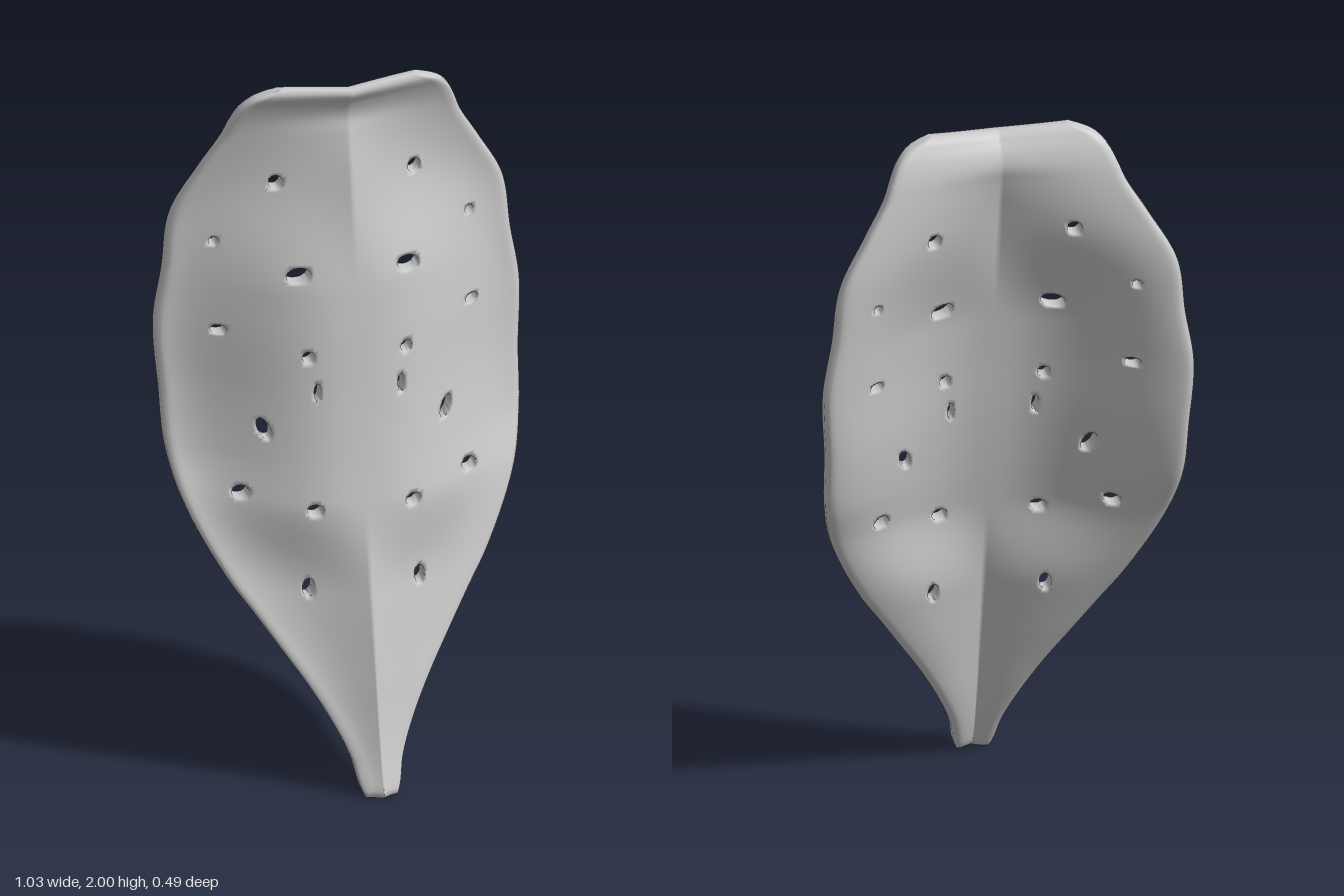
import * as THREE from 'three';

// Outline stations: height, half width, ridge z, edge z (middle of the shell)
const stations = [
  [0, .045, .224, .206], [.03, .056, .212, .194], [.1, .072, .19, .166], [.2, .116, .166, .126],
  [.3, .172, .146, .088], [.4, .237, .126, .048], [.5, .303, .106, .01], [.6, .37, .085, -.028],
  [.8, .467, .046, -.105], [.94, .499, .02, -.166], [1.1, .507, -.005, -.202], [1.3, .516, -.03, -.223],
  [1.45, .492, -.05, -.225], [1.62, .467, -.077, -.225], [1.75, .395, -.1, -.205], [1.85, .335, -.122, -.182],
  [1.9, .315, -.131, -.168], [1.95, .287, -.118, -.148], [1.98, .25, -.1, -.13], [2, .195, -.092, -.118],
];
// Perforations on one half: x, y, radius x, radius y, tilt
const holes = [
  [.196, 1.71, .02, .02, 0], [.362, 1.54, .013, .013, 0], [.155, 1.46, .034, .021, -.2],
  [.358, 1.29, .021, .014, 0], [.138, 1.23, .017, .017, 0], [.118, 1.13, .01, .026, 0],
  [.257, 1.02, .016, .032, -.4], [.323, .84, .024, .018, -.3], [.138, .8, .023, .017, 0],
  [.157, .57, .016, .026, .1],
];
const COLS = 110, ROWS = 200, HALF = .025;
const { lerp, smoothstep } = THREE.MathUtils;

const section = new THREE.CubicInterpolant(
  stations.map(s => s[0]), stations.flatMap(s => s.slice(1)), 3, new Float32Array(3));

// Distance from a hole centre, measured in hole radii
function holeDistance([hx, hy, rx, ry, tilt], x, y) {
  const dx = Math.abs(x) - hx, dy = y - hy, c = Math.cos(tilt), s = Math.sin(tilt);
  return Math.hypot((dx * c + dy * s) / rx, (dy * c - dx * s) / ry);
}

// Fall from ridge (0) to edge (1): keeled near both ends, a broad soft ridge in the belly
function foldProfile(t, y) {
  const belly = smoothstep(y, .55, .82) * (1 - smoothstep(y, 1.4, 1.8));
  const keel = lerp(Math.sin(t * Math.PI / 2), t, smoothstep(y, 1.4, 2) * .6);
  return lerp(keel, smoothstep(t ** 1.3, 0, 1), belly);
}

function shellGeometry() {
  const id = (i, j) => j * (COLS + 1) + i;
  const count = (COLS + 1) * (ROWS + 1);

  // Flat grid that fills the outline
  const flat = [];
  for (let j = 0; j <= ROWS; j++) {
    const y = 2 * j / ROWS, w = section.evaluate(y)[0];
    for (let i = 0; i <= COLS; i++) flat.push([(2 * i / COLS - 1) * w, y]);
  }

  // Open the cells inside each hole
  const opened = new Map();
  for (let j = 0; j < ROWS; j++) for (let i = 0; i < COLS; i++) {
    const a = flat[id(i, j)], c = flat[id(i + 1, j + 1)];
    const hole = holes.find(h => holeDistance(h, (a[0] + c[0]) / 2, (a[1] + c[1]) / 2) < 1);
    if (hole) opened.set(id(i, j), hole);
  }
  const solid = (i, j) => i >= 0 && j >= 0 && i < COLS && j < ROWS && !opened.has(id(i, j));

  // Faces of both skins, joined by walls along the rim and the holes
  const index = [], snap = new Map();
  for (let j = 0; j < ROWS; j++) for (let i = 0; i < COLS; i++) {
    if (!solid(i, j)) continue;
    const q = [id(i, j), id(i + 1, j), id(i + 1, j + 1), id(i, j + 1)];
    const [a, b, c, d] = q;
    index.push(a, b, c, a, c, d);
    index.push(a + count, c + count, b + count, a + count, d + count, c + count);
    [[0, -1], [1, 0], [0, 1], [-1, 0]].forEach(([di, dj], k) => {
      if (solid(i + di, j + dj)) return;
      const p = q[k], r = q[(k + 1) % 4];
      index.push(r, p, p + count, r, p + count, r + count);
      const hole = opened.get(id(i + di, j + dj));
      if (hole) { snap.set(p, hole); snap.set(r, hole); }
    });
  }

  // Pull the hole borders onto smooth ovals
  snap.forEach((hole, v) => {
    const [x, y] = flat[v], d = holeDistance(hole, x, y), side = Math.sign(x);
    flat[v] = [side * (hole[0] + (Math.abs(x) - hole[0]) / d), hole[1] + (y - hole[1]) / d];
  });

  // Fold the grid back from the centre ridge and give it a rounded rim
  const position = new Float32Array(count * 6);
  flat.forEach(([x, y], v) => {
    const [w, ridge, edge] = section.evaluate(y);
    const t = Math.min(1, Math.abs(x) / w);
    const z = lerp(ridge, edge, foldProfile(t, y));
    const rim = Math.min(1, Math.min((1 - t) * w, y, 2 - y) / .03);
    const h = HALF * (.5 + .5 * Math.sqrt(rim * (2 - rim)));
    const dip = .013 * (1 - t) * smoothstep(y, 1.85, 2);
    position.set([x, y - dip, z + h], v * 3);
    position.set([x, y - dip, z - h], (v + count) * 3);
  });

  const geometry = new THREE.BufferGeometry();
  geometry.setAttribute('position', new THREE.BufferAttribute(position, 3));
  geometry.setIndex(index);
  geometry.computeVertexNormals();
  return geometry;
}

export function createModel() {
  const model = new THREE.Group();
  model.name = 'perforatedLeafShell';
  const shell = new THREE.Mesh(shellGeometry(), new THREE.MeshStandardMaterial({ color: 0xcccccc }));
  shell.name = 'leafShell';
  model.add(shell);
  return model;
}
